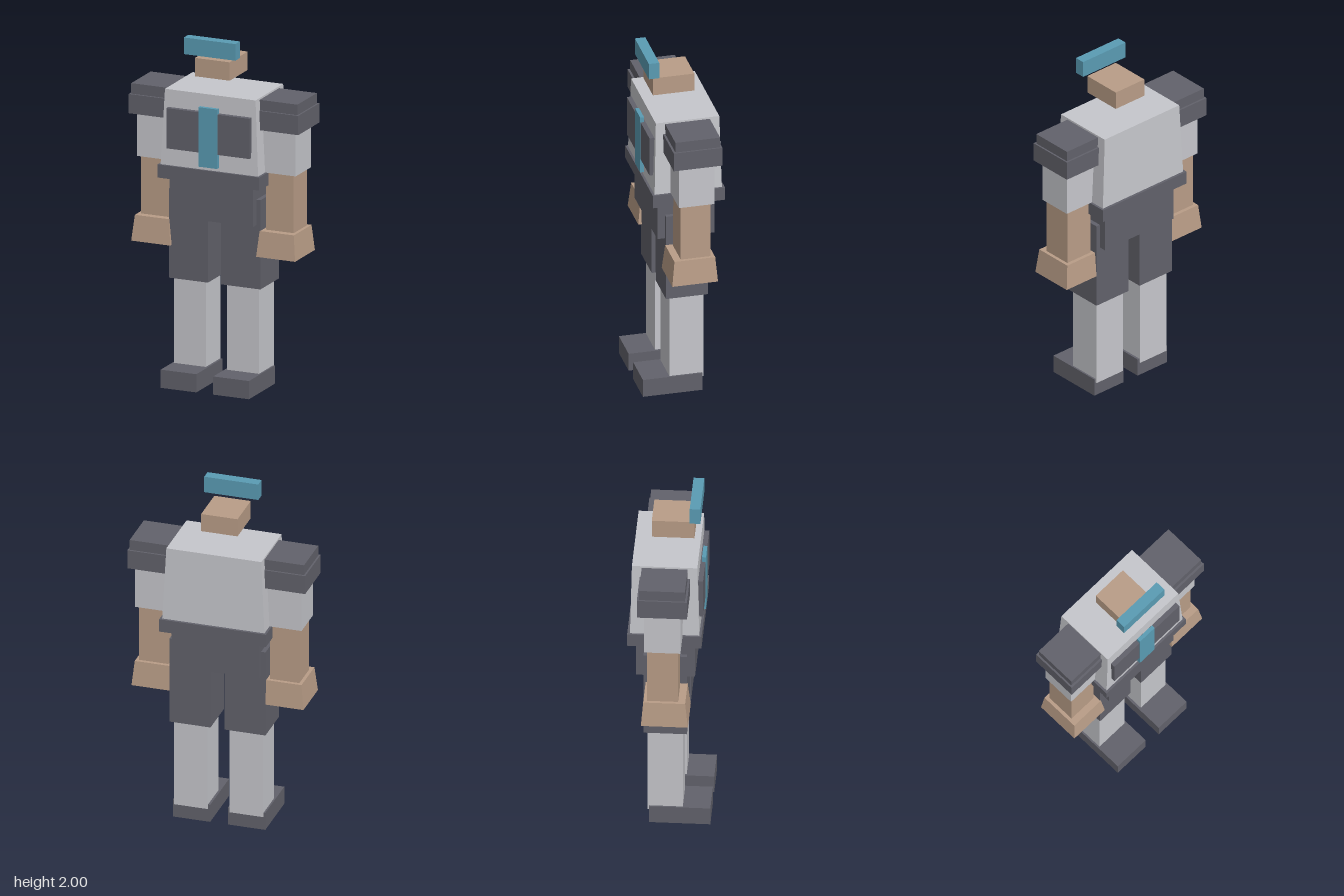
import * as THREE from 'three';

function material(name, color) {
  const m = new THREE.MeshStandardMaterial({ color });
  m.name = name;
  return m;
}

export function createModel() {
  const model = new THREE.Group();
  model.name = 'blockRobot';
  const grey = material('lightGrey', 0xc6c7cc);
  const dark = material('darkGrey', 0x62626b);
  const tan = material('tan', 0xb99d87);
  const teal = material('teal', 0x5a9cb4);

  // Box between limits; topX/topZ optionally replace its limits along the top edge
  function block(name, mat, x, y, z, topX = x, topZ = z) {
    const geo = new THREE.BoxGeometry(1, 1, 1).toNonIndexed();
    const p = geo.attributes.position;
    for (let i = 0; i < p.count; i++) {
      const up = p.getY(i) > 0;
      const lx = up ? topX : x, lz = up ? topZ : z;
      p.setXYZ(i, lx[p.getX(i) > 0 ? 1 : 0], y[up ? 1 : 0], lz[p.getZ(i) > 0 ? 1 : 0]);
    }
    geo.computeVertexNormals();
    const mesh = new THREE.Mesh(geo, mat);
    mesh.name = name;
    model.add(mesh);
  }

  // Matching blocks on both sides, limits given for the left (+x)
  function pair(name, mat, x, y, z, topX = x, topZ = z) {
    const flip = ([a, b]) => [-b, -a];
    block('left' + name, mat, x, y, z, topX, topZ);
    block('right' + name, mat, flip(x), y, z, flip(topX), topZ);
  }

  // Head and floating visor
  block('visor', teal, [-0.156, 0.156], [1.905, 2], [0.107, 0.166]);
  block('head', tan, [-0.105, 0.105], [1.775, 1.88], [-0.105, 0.13]);

  // Torso, tapering towards the shoulders
  block('torso', grey, [-0.295, 0.295], [1.26, 1.69], [-0.212, 0.169], [-0.274, 0.274], [-0.203, 0.157]);
  block('chestPlate', dark, [-0.252, 0.252], [1.36, 1.59], [0.156, 0.187]);
  block('chestStripe', teal, [-0.057, 0.057], [1.28, 1.62], [0.168, 0.19]);
  block('belt', dark, [-0.308, 0.308], [1.185, 1.26], [-0.227, 0.182]);
  block('hips', dark, [-0.252, 0.252], [0.96, 1.185], [-0.181, 0.143]);

  // Arms
  pair('ShoulderCap', dark, [0.257, 0.503], [1.62, 1.68], [-0.149, 0.104]);
  pair('ShoulderPad', dark, [0.247, 0.513], [1.51, 1.62], [-0.16, 0.116]);
  pair('Sleeve', grey, [0.28, 0.48], [1.26, 1.51], [-0.122, 0.078]);
  pair('Forearm', tan, [0.293, 0.462], [0.93, 1.26], [-0.106, 0.064]);
  pair('Hand', tan, [0.26, 0.496], [0.785, 0.93], [-0.139, 0.12], [0.274, 0.481], [-0.127, 0.104]);

  // Legs
  pair('Thigh', dark, [0.04, 0.277], [0.595, 1.105], [-0.139, 0.1]);
  pair('Shin', grey, [0.064, 0.257], [0.08, 0.595], [-0.117, 0.076]);
  pair('Foot', dark, [0.051, 0.267], [0, 0.104], [-0.11, 0.228]);

  return model;
}
